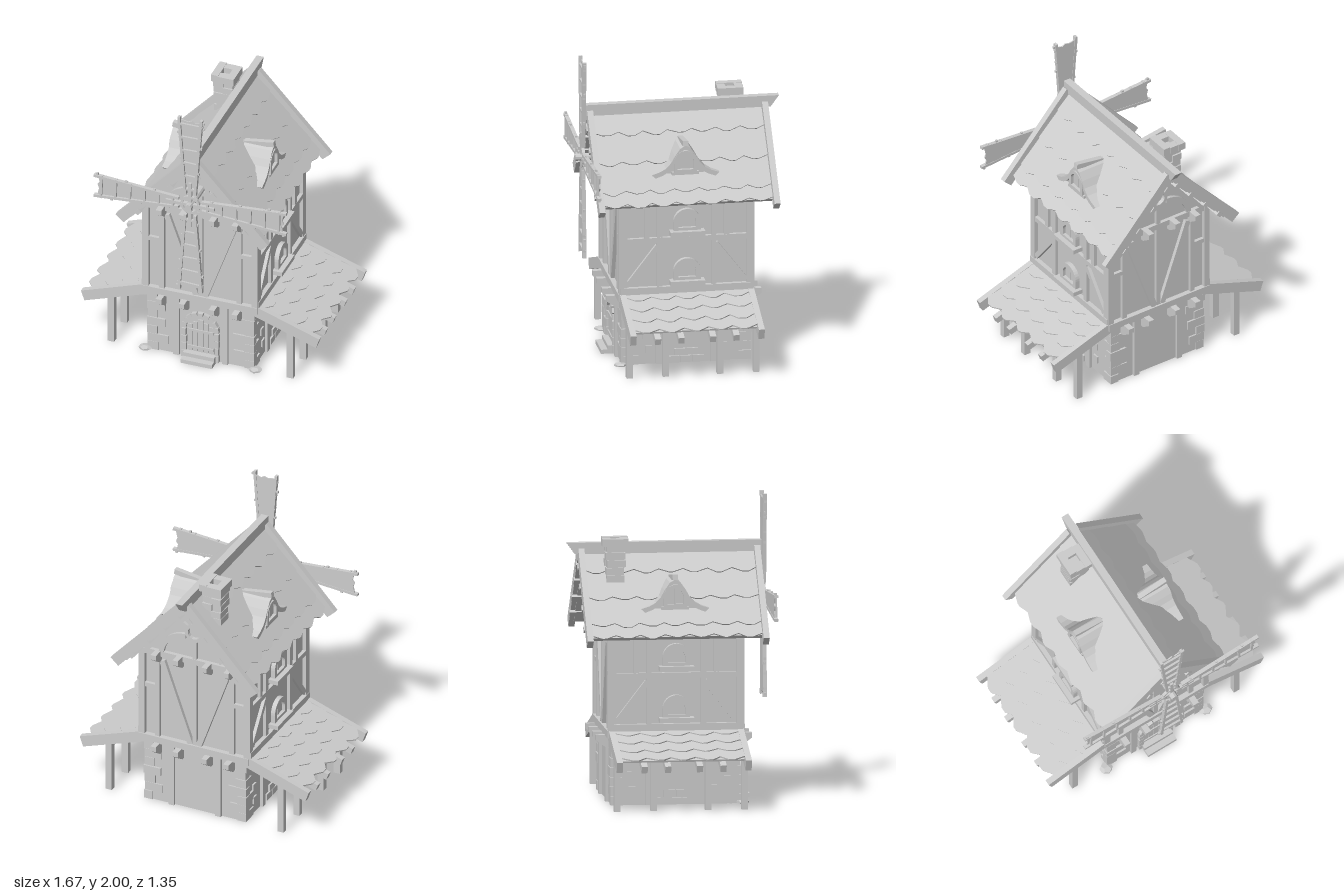
import * as THREE from 'three';

const stone = new THREE.MeshStandardMaterial({ color: 0xcccccc, side: THREE.DoubleSide });
stone.name = 'plain grey';
stone.flatShading = true;

let seed = 7;
const rand = (a, b) => {
  seed = (seed * 16807) % 2147483647;
  return a + (b - a) * (seed / 2147483647);
};

function add(parent, name, geo, x = 0, y = 0, z = 0) {
  const m = new THREE.Mesh(geo, stone);
  m.name = name;
  m.position.set(x, y, z);
  parent.add(m);
  return m;
}
function group(parent, name, ry = 0) {
  const g = new THREE.Group();
  g.name = name;
  g.rotation.y = ry;
  parent.add(g);
  return g;
}
const box = (p, name, w, h, d, x, y, z) => add(p, name, new THREE.BoxGeometry(w, h, d), x, y, z);
// timber between two points of a wall plane
function beam(p, name, x1, y1, x2, y2, w, z, d) {
  const m = box(p, name, Math.hypot(x2 - x1, y2 - y1), w, d, (x1 + x2) / 2, (y1 + y2) / 2, z);
  m.rotation.z = Math.atan2(y2 - y1, x2 - x1);
  return m;
}
const polygon = pts => new THREE.Shape(pts.map(p => new THREE.Vector2(p[0], p[1])));
const extrude = (shape, depth) =>
  new THREE.ExtrudeGeometry(shape, { depth, bevelEnabled: false, curveSegments: 8 });
function archPath(path, w, h, y0 = 0) {
  const r = w / 2;
  path.moveTo(-r, y0);
  path.lineTo(r, y0);
  path.lineTo(r, h - r);
  path.absarc(0, h - r, r, 0, Math.PI, false);
  path.lineTo(-r, y0);
  return path;
}
const arch = (w, h) => archPath(new THREE.Shape(), w, h);
function archFrame(w, h, t) {
  const s = arch(w, h);
  s.holes.push(archPath(new THREE.Path(), w - 2 * t, h - t, t));
  return s;
}
// flat curved timber from angle a to b
function arcBand(r0, r1, a, b) {
  const s = new THREE.Shape();
  s.absarc(0, 0, r1, a, b, false);
  s.absarc(0, 0, r0, b, a, true);
  return s;
}
function ringShape(r1, r0) {
  const s = new THREE.Shape().absarc(0, 0, r1, 0, Math.PI * 2, false);
  s.holes.push(new THREE.Path().absarc(0, 0, r0, 0, Math.PI * 2, true));
  return s;
}

// sloping frame: x along the eave, y up the slope, z outward
function slope(parent, name, x, y, a) {
  const g = group(parent, name);
  const c = Math.cos(a), s = Math.sin(a);
  g.quaternion.setFromRotationMatrix(new THREE.Matrix4().makeBasis(
    new THREE.Vector3(0, 0, -1), new THREE.Vector3(-c, s, 0), new THREE.Vector3(s, c, 0)));
  g.position.set(x, y, 0);
  return g;
}
// one course of pointed shingles from s0 to s1 down the slope
function shingles(p, half, s0, s1, n, depth, lift) {
  const L = s1 - s0, step = 2 * half / n, pts = [[half, 0], [-half, 0]];
  for (let i = 0; i < n; i++) {
    const x = -half + i * step, tip = -L + rand(-0.006, 0.006);
    pts.push([x, -L + depth], [x + step * rand(0.3, 0.45), tip], [x + step * rand(0.55, 0.7), tip]);
  }
  pts.push([half, -L + depth]);
  const m = add(p, 'shingleCourse', extrude(polygon(pts.reverse()), 0.009), 0, -s0, 0);
  m.rotation.x = -Math.asin(lift / L);
}

function archWindow(p, y, z, w, h, t) {
  add(p, 'windowPane', extrude(arch(w - 0.02, h - 0.01), 0.008), 0, y, z);
  add(p, 'windowFrame', extrude(archFrame(w, h, t), 0.03), 0, y, z);
  box(p, 'windowBar', 0.01, h - t, 0.012, 0, y + h / 2, z + 0.006);
}

// jettied joists with a sloped underside
function joists(p, y) {
  for (const x of [-0.265, -0.105, 0.105, 0.265]) {
    const shape = polygon([[-0.4, y + 0.085], [-0.4, y], [-0.445, y], [-0.515, y + 0.05], [-0.515, y + 0.085]]);
    const m = add(p, 'joist', extrude(shape, 0.04), x - 0.02, 0, 0);
    m.rotation.y = Math.PI / 2;
  }
}

function endFace(p) {
  const z = 0.43;
  add(p, 'baseWall', new THREE.PlaneGeometry(0.72, 0.48), 0, 0.24, 0.42);
  for (const s of [-1, 1]) {
    beam(p, 'cornerPost', s * 0.38, 0.5, s * 0.38, 1.15, 0.04, z, 0.04);
    beam(p, 'post', s * 0.27, 0.5, s * 0.27, 1.15, 0.035, z, 0.025);
    beam(p, 'brace', s * 0.235, 1.08, s * 0.03, 0.5, 0.04, z, 0.03);
    beam(p, 'rail', s * 0.36, 0.87, s * 0.27, 0.87, 0.03, z, 0.025);
    beam(p, 'gableRafter', s * 0.39, 1.12, 0, 1.545, 0.06, z, 0.03);
    const a = s > 0 ? 0 : Math.PI / 2;
    add(p, 'curvedBrace', extrude(arcBand(0.16, 0.195, a, a + Math.PI / 2), 0.025), s * 0.065, 1.13, 0.418);
    beam(p, 'ringStrut', s * 0.05, 1.38, s * 0.12, 1.42, 0.025, z, 0.025);
    beam(p, 'stonePost', s * 0.17, 0, s * 0.17, 0.45, 0.04, 0.425, 0.03);
  }
  beam(p, 'centrePost', 0, 0.5, 0, 1.3, 0.03, z, 0.025);
  beam(p, 'kingPost', 0, 1.4, 0, 1.54, 0.03, z, 0.025);
  box(p, 'sillBeam', 0.8, 0.05, 0.05, 0, 0.475, 0.43);
  box(p, 'tieBeam', 0.8, 0.04, 0.03, 0, 1.13, z);
  add(p, 'gableRing', extrude(ringShape(0.068, 0.045), 0.03), 0, 1.35, 0.418);
  joists(p, 0.37);
  joists(p, 1.065);
}

function sideFace(p) {
  const z = 0.39;
  add(p, 'baseWall', new THREE.PlaneGeometry(0.84, 0.48), 0, 0.24, 0.36);
  for (const s of [-1, 1]) {
    beam(p, 'cornerPost', s * 0.42, 0.5, s * 0.42, 1.15, 0.05, z, 0.03);
    beam(p, 'post', s * 0.265, 0.86, s * 0.265, 1.13, 0.035, z, 0.025);
    beam(p, 'post', s * 0.18, 0.5, s * 0.18, 1.13, 0.035, z, 0.025);
    beam(p, 'brace', s * 0.39, 0.56, s * 0.19, 0.82, 0.035, z, 0.025);
    beam(p, 'stonePost', s * 0.18, 0, s * 0.18, 0.45, 0.04, 0.365, 0.03);
    for (const y of [0.1, 0.2])
      box(p, 'wallStone', 0.045, 0.05, 0.02, s * rand(0.24, 0.3), y, 0.36);
  }
  box(p, 'sillBeam', 0.88, 0.05, 0.04, 0, 0.515, z);
  box(p, 'midRail', 0.86, 0.035, 0.028, 0, 0.86, z);
  box(p, 'topRail', 0.86, 0.04, 0.028, 0, 1.12, z);
  for (const y of [0.57, 0.91]) {
    archWindow(p, y, 0.385, 0.18, 0.16, 0.032);
    box(p, 'windowSill', 0.23, 0.03, 0.07, 0, y - 0.002, 0.415);
  }
  for (let row = 0; row < 2; row++)
    for (let i = 0; i < 3 - row; i++)
      box(p, 'footStone', 0.075, 0.045, 0.025, (i - (2 - row) / 2) * 0.082, 0.024 + row * 0.05, 0.36);
}

function mainRoofSide(p) {
  const roof = slope(p, 'roofSlope', 0, 1.615, 0.829);
  box(roof, 'roofDeck', 1.14, 0.67, 0.03, 0, -0.335, -0.015);
  const edges = [0, 0.17, 0.385, 0.595, 0.69];
  for (let i = 0; i < 4; i++)
    shingles(roof, 0.565, Math.max(0, edges[i] - 0.04), edges[i + 1], 7, 0.028, 0.011);
  for (const s of [-1, 1]) box(roof, 'bargeBoard', 0.04, 0.735, 0.075, s * 0.58, -0.3625, 0.016);
  for (const d of [0.09, 0.25, 0.42, 0.58]) box(roof, 'purlin', 1.215, 0.04, 0.03, 0, -d, -0.025);
}

function dormer(p) {
  // local +z faces outward after a quarter turn
  const d = group(p, 'dormer', Math.PI / 2);
  const half = [[0, 1.485], [0.035, 1.465], [0.07, 1.415], [0.095, 1.37], [0.13, 1.332], [0.17, 1.31], [0.225, 1.292]];
  const mirror = half.slice(1).reverse().map(q => [-q[0], q[1]]);
  const outer = mirror.concat(half);
  // the body is sunk into the roof, which trims its back
  add(d, 'dormerBody', extrude(polygon([...outer].reverse()), 0.24), 0, 0, 0.09);
  const inner = outer.map(q => [q[0] * 0.88, q[1] - 0.024]).reverse();
  add(d, 'dormerTrim', extrude(polygon([...outer, ...inner].reverse()), 0.03), 0, 0, 0.32);
  archWindow(d, 1.3, 0.325, 0.15, 0.15, 0.022);
  box(d, 'dormerSill', 0.18, 0.02, 0.03, 0, 1.295, 0.335);
  const ridge = box(d, 'dormerRidge', 0.035, 0.035, 0.21, 0, 1.485, 0.25);
  ridge.rotation.x = -0.15;
}

function leanTo(p) {
  const roof = slope(p, 'leanToSlope', 0.37, 0.495, 0.333);
  box(roof, 'leanToDeck', 0.82, 0.42, 0.012, 0, -0.21, -0.014);
  const edges = [0, 0.11, 0.225, 0.345, 0.46];
  for (let i = 0; i < 4; i++)
    shingles(roof, 0.405, Math.max(0, edges[i] - 0.05), edges[i + 1], 5, 0.04, 0.01);
  for (const s of [-1, 1]) {
    box(roof, 'leanToBarge', 0.04, 0.485, 0.075, s * 0.425, -0.242, -0.022);
    for (const x of [0.105, 0.26]) box(roof, 'leanToRafter', 0.04, 0.475, 0.045, s * x, -0.245, -0.043);
    for (const z of [0.18, 0.42]) box(p, 'porchPost', 0.045, 0.36, 0.04, 0.625, 0.18, s * z);
  }
  box(p, 'porchBeam', 0.04, 0.04, 0.86, 0.625, 0.34, 0);
}

function blade(p, angle) {
  const b = group(p, 'sail');
  b.rotation.z = angle;
  add(b, 'sailBoard', extrude(polygon([[-0.04, 0.13], [0.04, 0.13], [0.066, 0.645], [0.03, 0.635], [0.01, 0.65], [-0.02, 0.64], [-0.066, 0.65]]), 0.008), 0, 0, -0.01);
  box(b, 'sailArm', 0.022, 0.16, 0.026, 0, 0.09, 0);
  for (const s of [-1, 1]) beam(b, 'sailRail', s * 0.034, 0.08, s * 0.078, 0.672, 0.018, 0, 0.026);
  for (let i = 0; i < 6; i++) {
    const y = 0.12 + i * 0.1;
    const rung = box(b, 'sailRung', 0.085 + i * 0.018, 0.014, 0.02, 0, y, 0.002);
    rung.rotation.z = rand(-0.05, 0.05);
    box(b, 'sailPeg', 0.02, 0.016, 0.014, (i % 2 ? 1 : -1) * (0.045 + i * 0.009), y + 0.03, 0);
  }
}

function cornerStones(p) {
  for (const sx of [-1, 1]) for (const sz of [-1, 1])
    for (let i = 0; i < 7; i++) {
      const w = i % 2 ? rand(0.11, 0.15) : rand(0.06, 0.08), d = i % 2 ? rand(0.04, 0.06) : rand(0.07, 0.12);
      const out = rand(0.006, 0.016);
      box(p, 'cornerStone', w, 0.06, d, sx * (0.36 + out - w / 2), 0.031 + i * 0.063, sz * (0.42 + out - d / 2));
    }
}

function door(p) {
  add(p, 'doorPanel', extrude(arch(0.2, 0.32), 0.008), 0, 0.01, 0.42);
  for (let i = -2; i <= 2; i++)
    box(p, 'doorPlank', 0.033, 0.29 - Math.abs(i) * 0.022, 0.012, i * 0.038, 0.16 - Math.abs(i) * 0.011, 0.43);
  for (const y of [0.09, 0.22]) box(p, 'doorStrap', 0.18, 0.018, 0.01, 0, y, 0.438);
  for (const s of [-1, 1]) for (let i = 0; i < 4; i++)
    box(p, 'doorStone', rand(0.026, 0.036), 0.052, 0.035, s * 0.114, 0.03 + i * 0.056, 0.43);
  for (let i = 0; i < 9; i++) {
    const t = (i + 0.5) * Math.PI / 9;
    const m = box(p, 'archStone', 0.032, 0.038, 0.035, 0.114 * Math.cos(t), 0.232 + 0.114 * Math.sin(t), 0.43);
    m.rotation.z = t;
  }
  for (let i = 0; i < 2; i++) box(p, 'doorStep', 0.22, 0.028, 0.1 - i * 0.045, 0, 0.014 + i * 0.028, 0.47 - i * 0.022);
}

function chimney(p) {
  const c = group(p, 'chimney');
  c.position.set(-0.12, 0, -0.37);
  box(c, 'chimneyCore', 0.1, 0.3, 0.11, 0, 1.53, 0);
  for (let i = 0; i < 5; i++) for (const s of [-1, 1])
    box(c, 'chimneyStone', 0.07, 0.045, rand(0.11, 0.14), s * 0.032, 1.47 + i * 0.05, rand(-0.008, 0.008));
  for (const s of [-1, 1]) {
    box(c, 'chimneyCap', 0.05, 0.05, 0.17, s * 0.056, 1.71, s * 0.005);
    box(c, 'chimneyCap', 0.07, 0.045, 0.055, 0, 1.71, s * 0.058);
  }
}

export function createModel() {
  const model = new THREE.Group();
  model.name = 'windmillHouse';
  // walls; the stone base is open underneath
  const wall = polygon([[-0.38, 0.47], [0.38, 0.47], [0.38, 1.15], [0, 1.565], [-0.38, 1.15]]);
  add(model, 'upperWalls', extrude(wall, 0.84), 0, 0, -0.42);
  cornerStones(model);
  for (const r of [0, Math.PI]) {
    endFace(group(model, 'endWall', r));
    sideFace(group(model, 'sideWall', r + Math.PI / 2));
    const half = group(model, 'roofHalf', r);
    mainRoofSide(half);
    dormer(half);
    leanTo(half);
  }
  door(model);
  // ridge beam with a raked back end
  const ridge = polygon([[-0.61, 1.615], [0.62, 1.615], [0.675, 1.69], [-0.61, 1.69]]);
  const r = add(model, 'ridgeBeam', extrude(ridge, 0.05), -0.025, 0, 0);
  r.rotation.y = Math.PI / 2;
  chimney(model);
  // loose rocks at the foot of the front corners
  for (const s of [-1, 1]) {
    const rock = add(model, 'footRock', new THREE.DodecahedronGeometry(0.045), s * 0.385, 0.012, 0.44);
    rock.scale.y = 0.28;
  }
  // sails
  const sails = group(model, 'sails');
  sails.position.set(0, 1.328, 0.625);
  for (let i = 0; i < 4; i++) blade(sails, i * Math.PI / 2);
  add(sails, 'hubRing', extrude(ringShape(0.068, 0.052), 0.02), 0, 0, -0.01);
  const axle = add(sails, 'axle', new THREE.CylinderGeometry(0.025, 0.025, 0.25, 10), 0, 0, -0.075);
  axle.rotation.x = Math.PI / 2;
  return model;
}
